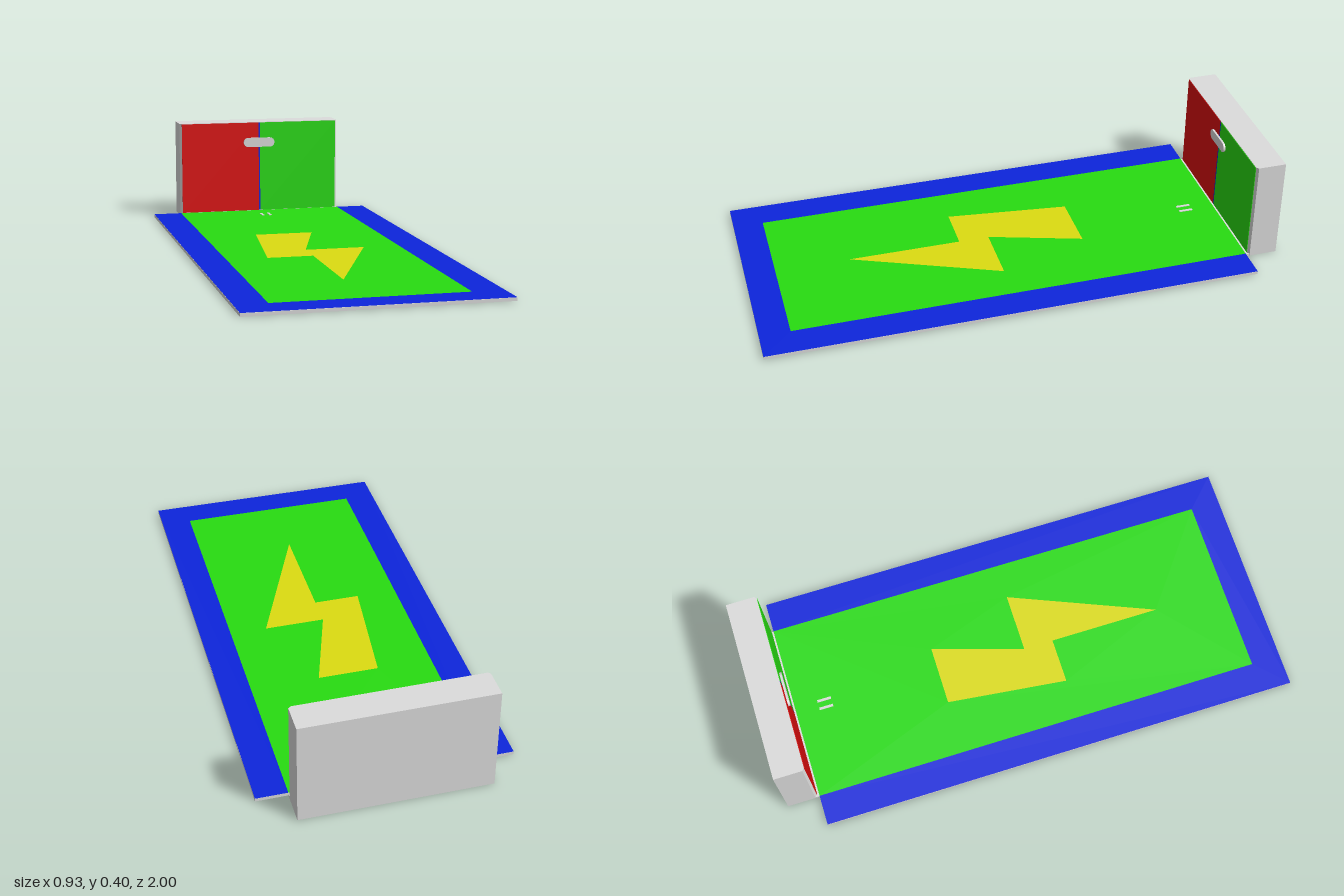
import * as THREE from 'three';

const mat = (name, color) => new THREE.MeshStandardMaterial({ name, color });

export function createModel() {
  const grey = mat('light grey', 0xdcdcdc);
  const red = mat('red', 0xde0e0e);
  const green = mat('green', 0x28dc11);
  const blue = mat('blue', 0x0d25dc);
  const yellow = mat('yellow', 0xdcdc11);

  const group = new THREE.Group();
  const add = (name, geometry, material) => {
    const mesh = new THREE.Mesh(geometry, material);
    mesh.name = name;
    group.add(mesh);
    return mesh;
  };
  // Box given by its minimum and maximum corners
  const box = (name, material, [x0, y0, z0], [x1, y1, z1]) => {
    const mesh = add(name, new THREE.BoxGeometry(x1 - x0, y1 - y0, z1 - z0), material);
    mesh.position.set((x0 + x1) / 2, (y0 + y1) / 2, (z0 + z1) / 2);
  };
  // Ground-plan points [x, z] become shape points [x, -z]
  const plan = (points) => points.map(([x, z]) => new THREE.Vector2(x, -z));
  const paint = (name, material, points, hole) => {
    const shape = new THREE.Shape(plan(points));
    if (hole) shape.holes.push(new THREE.Path(plan(hole)));
    const geometry = new THREE.ShapeGeometry(shape).rotateX(-Math.PI / 2);
    add(name, geometry, material).position.y = TOP;
  };

  const W = 0.467, D = 0.35, BACK = -0.875, FRONT = -0.884, TOP = 0.0125;

  // Floor slab and the sill joining it to the cabinet
  box('floorSlab', grey, [-W, 0, BACK], [W, 0.012, 1]);
  box('sill', grey, [-D, 0, -0.89], [D, 0.009, BACK]);

  // Painted floor: border on three sides, bay and bolt sign
  const bolt = [[-0.14, -0.3], [0.09, -0.3], [-0.02, 0.05], [0.21, 0.05],
    [-0.02, 0.6], [-0.02, 0.167], [-0.195, 0.167]];
  paint('floorBorder', blue, [[-W, BACK], [-D, BACK], [-D, 0.885], [D, 0.885],
    [D, BACK], [W, BACK], [W, 1], [-W, 1]]);
  paint('floorBay', green, [[-D, BACK], [D, BACK], [D, 0.885], [-D, 0.885]], bolt);
  paint('boltSign', yellow, bolt);

  // Pair of small bars set in the floor
  for (const x of [-0.016, 0.016]) {
    box('floorBar', grey, [x - 0.005, 0.01, -0.785], [x + 0.005, 0.015, -0.73]);
  }

  // Cabinet with chamfered front corners
  const footprint = new THREE.Shape(plan([[-D, -1], [D, -1], [D, -0.892],
    [D - 0.009, FRONT], [-D + 0.009, FRONT], [-D, -0.892]]));
  const body = new THREE.ExtrudeGeometry(footprint, { depth: 0.4, bevelEnabled: false });
  add('cabinet', body.rotateX(-Math.PI / 2), grey);

  // Door panels and the centre seam
  const z1 = FRONT + 0.002;
  box('redDoor', red, [-0.341, 0.012, FRONT], [-0.003, 0.398, z1]);
  box('greenDoor', green, [0.003, 0.012, FRONT], [0.341, 0.398, z1]);
  box('doorSeam', blue, [-0.003, 0.012, FRONT], [0.003, 0.398, z1]);

  // Pill-shaped handle
  const r = 0.02, half = 0.048;
  const pill = new THREE.Shape();
  pill.absarc(half, 0, r, -Math.PI / 2, Math.PI / 2);
  pill.absarc(-half, 0, r, Math.PI / 2, Math.PI * 1.5);
  const handle = add('handle', new THREE.ExtrudeGeometry(pill,
    { depth: 0.01, bevelEnabled: false, curveSegments: 6 }), grey);
  handle.position.set(-0.002, 0.312, FRONT);

  return group;
}
